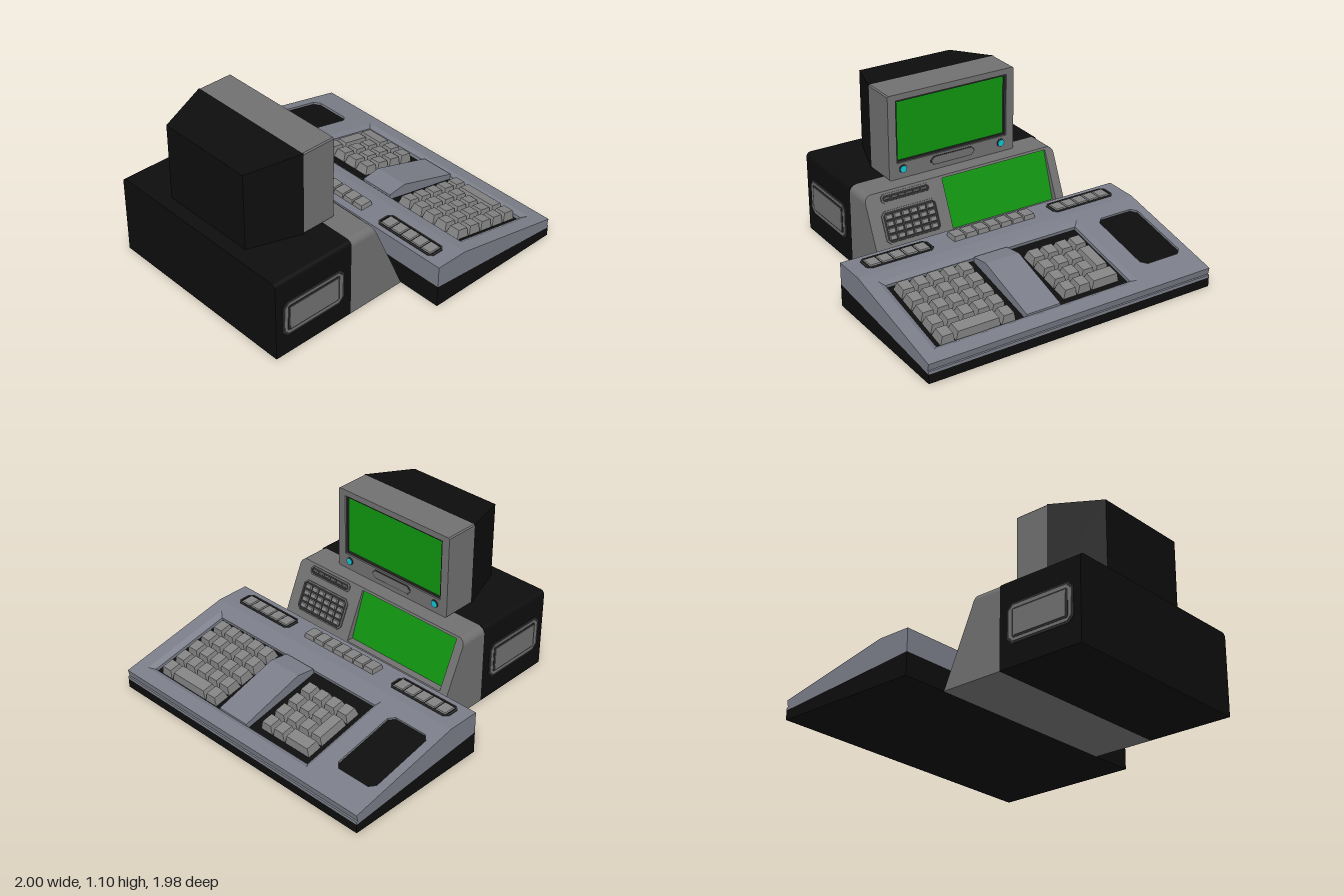
import * as THREE from 'three';

const COLORS = { black: 0x0d0d0d, dark: 0x2c2c2c, grey: 0x707070, key: 0x828282, deck: 0x7a7d88, green: 0x109410, cyan: 0x12c4d2 };
const MATS = {};
for (const k in COLORS) {
  MATS[k] = new THREE.MeshStandardMaterial({ flatShading: true });
  MATS[k].color.set(COLORS[k]);
}

function add(parent, name, geo, mat, x = 0, y = 0, z = 0) {
  const m = new THREE.Mesh(geo, MATS[mat]);
  m.name = name;
  m.position.set(x, y, z);
  parent.add(m);
  return m;
}

function group(parent, name) {
  const g = new THREE.Group();
  g.name = name;
  parent.add(g);
  return g;
}

const poly = pts => new THREE.Shape(pts.map(p => new THREE.Vector2(p[0], p[1])));

// Rectangle with chamfered corners
function rect(x0, y0, x1, y1, c = 0) {
  if (!c) return poly([[x0, y0], [x1, y0], [x1, y1], [x0, y1]]);
  return poly([[x0 + c, y0], [x1 - c, y0], [x1, y0 + c], [x1, y1 - c],
    [x1 - c, y1], [x0 + c, y1], [x0, y1 - c], [x0, y0 + c]]);
}

// Cabinet outline with rounded top corners
function cabinetShape(w, h, r) {
  const s = new THREE.Shape();
  s.moveTo(-w, 0);
  s.lineTo(w, 0);
  s.lineTo(w, h - r);
  s.absarc(w - r, h - r, r, 0, Math.PI / 2);
  s.absarc(r - w, h - r, r, Math.PI / 2, Math.PI);
  return s;
}

// Plate from a shape between two heights
function plate(parent, name, shape, mat, z0, z1) {
  const geo = new THREE.ExtrudeGeometry(shape, { depth: z1 - z0, bevelEnabled: false, curveSegments: 6 });
  geo.translate(0, 0, z0);
  return add(parent, name, geo, mat);
}

function reshape(geo, rule) {
  const p = geo.attributes.position, v = new THREE.Vector3();
  for (let i = 0; i < p.count; i++) {
    rule(v.fromBufferAttribute(p, i));
    p.setXYZ(i, v.x, v.y, v.z);
  }
  geo.computeVertexNormals();
  return geo;
}

// Tapered keycap standing along +z, covering a cell
function keycap(parent, x0, y0, x1, y1, z0, z1, gap = 0.004, taper = 0.012) {
  const w = x1 - x0 - gap * 2, d = y1 - y0 - gap * 2;
  const geo = reshape(new THREE.BoxGeometry(w, d, z1 - z0), v => {
    if (v.z > 0) {
      v.x -= Math.sign(v.x) * taper;
      v.y -= Math.sign(v.y) * taper;
    }
  });
  add(parent, 'key', geo, 'key', (x0 + x1) / 2, (y0 + y1) / 2, (z0 + z1) / 2);
}

function buildKeyboard(root) {
  const kb = group(root, 'keyboard');
  const W = 0.99;
  plate(kb, 'keyboardBase', poly([[0, 0], [1, 0], [1, 0.06], [0, 0.145]]), 'black', -W, W);
  plate(kb, 'keyboardBody', poly([[0, 0.145], [1, 0.06], [1, 0.079], [0.22, 0.244], [0.22, 0.29], [0, 0.29]]), 'deck', -W, W);

  // Sloped deck: local x runs down the slope, local y towards -z
  const a = Math.atan2(0.165, 0.78), c = Math.cos(a);
  const deck = group(kb, 'slopedDeck');
  deck.position.set(0.22, 0.29, 0);
  deck.rotation.set(-Math.PI / 2, 0, -a, 'ZYX');
  const U = x => (x - 0.22) / c;
  const area = (x0, z0, x1, z1, ch) => rect(U(x0), -z1, U(x1), -z0, ch);

  const top = area(0.22, -W, 1, W);
  top.holes.push(area(0.29, -0.51, 0.91, 0.9), area(0.335, -0.93, 0.81, -0.63, 0.035));
  plate(deck, 'deckPlate', top, 'deck', -0.045, 0);
  plate(deck, 'displayWindow', area(0.33, -0.935, 0.815, -0.625), 'black', -0.045, -0.015);

  // Bevelled surround of the key well
  const ring = area(0.29, -0.51, 0.91, 0.9);
  ring.holes.push(area(0.32, -0.48, 0.88, 0.865));
  const surround = plate(deck, 'wellSurround', ring, 'deck', -0.045, 0);
  reshape(surround.geometry, v => {
    const inner = v.x > U(0.31) && v.x < U(0.89) && v.y > -0.88 && v.y < 0.495;
    if (inner && v.z > -0.01) v.z = -0.02;
  });
  plate(deck, 'upperWell', area(0.32, -0.48, 0.88, 0.03), 'black', -0.046, -0.042);
  plate(deck, 'lowerWell', area(0.32, 0.265, 0.88, 0.865), 'black', -0.046, -0.042);

  // Peaked divider between the two key groups
  plate(kb, 'wellDivider', poly([[0.32, 0.2], [0.88, 0.08], [0.88, 0.145], [0.45, 0.278], [0.32, 0.26]]), 'deck', 0.03, 0.265);

  // Key cells given as [column, row, columns wide, rows deep]
  const pad = (name, x, z, px, pz, cells) => {
    const g = group(deck, name);
    for (const [i, j, w, h] of cells)
      keycap(g, U(x + i * px), -(z + (j + h) * pz), U(x + (i + w) * px), -(z + j * pz), -0.044, 0.014);
  };
  const small = [[0, 0, 1, 1], [1, 0, 2, 1], [3, 0, 1, 2]];
  for (let j = 1; j < 4; j++)
    for (let i = 0; i < 4; i++) if (i < 3 || j > 1) small.push([i, j, 1, 1]);
  pad('numberKeys', 0.41, -0.44, 0.106, 0.102, small);

  const large = [[4, 1, 1, 3]];
  for (let j = 0; j < 5; j++)
    for (let i = 0; i < 5; i++) if (i < 4 || j === 0 || j === 4) large.push([i, j, 1, 1]);
  pad('mainKeys', 0.34, 0.32, 0.106, 0.102, large);

  // Key rows on the flat strip
  const strip = group(kb, 'stripKeys');
  strip.position.y = 0.29;
  strip.rotation.x = -Math.PI / 2;
  for (const [z0, z1, n, h, framed] of [[-0.88, -0.46, 5, 0.01, true], [-0.3, 0.29, 7, 0.03, false], [0.45, 0.87, 5, 0.01, true]]) {
    if (framed) {
      const rim = rect(0.035, -z1 - 0.02, 0.16, -z0 + 0.02, 0.025);
      rim.holes.push(rect(0.045, -z1 - 0.008, 0.15, -z0 + 0.008, 0.018));
      plate(strip, 'keyRowRim', rim, 'dark', 0, 0.005);
      plate(strip, 'keyRowBed', rect(0.045, -z1 - 0.008, 0.15, -z0 + 0.008, 0.018), 'black', 0, 0.002);
    }
    const p = (z1 - z0) / n;
    for (let i = 0; i < n; i++)
      keycap(strip, 0.05, -z0 - (i + 1) * p, 0.145, -z0 - i * p, 0, h, 0.002, 0.005);
  }
}

function buildConsole(root) {
  // Local x towards -z, local z towards +x
  const con = group(root, 'console');
  con.rotation.y = Math.PI / 2;
  plate(con, 'consoleRear', cabinetShape(0.69, 0.54, 0.03), 'black', -1, -0.42);

  // Front wedge with a leaning face and a display opening
  const run = 0.24 / 0.54;
  const shape = cabinetShape(0.69, 0.54, 0.045);
  shape.holes.push(rect(-0.145, 0.21, 0.63, 0.525));
  const wedge = plate(con, 'consoleFront', shape, 'grey', -0.42, 0);
  reshape(wedge.geometry, v => { if (v.z > -0.01) v.z = -run * v.y; });
  const screen = plate(con, 'lowerScreen', rect(-0.145, 0.21, 0.63, 0.525), 'green', -0.02, 0);
  reshape(screen.geometry, v => { v.z += -0.14 - (v.y - 0.21) * 0.34; });

  // Keypad and button row on the leaning face
  const tilt = Math.atan(run), c = Math.cos(tilt);
  const face = group(con, 'facePanel');
  face.rotation.x = -tilt;
  const block = (name, x0, y0, x1, y1, cols, rows, m, ch) => {
    const g = group(face, name);
    const v0 = y0 / c, v1 = y1 / c, pw = (x1 - x0) / cols, ph = (v1 - v0) / rows;
    const rim = rect(x0 - m, v0 - m, x1 + m, v1 + m, ch);
    rim.holes.push(rect(x0 - m + 0.008, v0 - m + 0.008, x1 + m - 0.008, v1 + m - 0.008, ch * 0.8));
    plate(g, 'panelRim', rim, 'grey', 0, 0.008);
    plate(g, 'panelBed', rect(x0 - m, v0 - m, x1 + m, v1 + m, ch), 'dark', 0, 0.003);
    for (let i = 0; i < cols; i++)
      for (let j = 0; j < rows; j++)
        keycap(g, x0 + i * pw, v0 + j * ph, x0 + (i + 1) * pw, v0 + (j + 1) * ph, 0, 0.014, 0.004, 0.005);
  };
  block('keypad', -0.59, 0.26, -0.24, 0.415, 6, 4, 0.018, 0.025);
  block('buttonRow', -0.57, 0.487, -0.26, 0.51, 6, 1, 0.016, 0.016);

  // Vent panels on both sides
  for (const s of [1, -1]) {
    const vent = group(root, 'sidePanel');
    vent.position.set(-0.715, 0.26, s * 0.69);
    if (s < 0) vent.rotation.y = Math.PI;
    [['dark', 0.235, 0.122, 0.035, 0.004], ['grey', 0.222, 0.109, 0.03, 0.007],
      ['dark', 0.2, 0.09, 0.01, 0.009], ['grey', 0.185, 0.078, 0, 0.012]].forEach(([mat, w, h, ch, d]) =>
      plate(vent, 'panelLayer', rect(-w, -h, w, h, ch), mat, -0.002, d));
  }
}

function buildMonitor(root) {
  const mon = group(root, 'monitor');
  mon.rotation.y = Math.PI / 2;

  // Tapered rear housing
  const rear = reshape(new THREE.BoxGeometry(0.91, 0.56, 0.34), v => {
    if (v.z < 0) {
      v.x *= 0.735;
      if (v.y > 0) v.y -= 0.045;
    }
  });
  add(mon, 'monitorRear', rear, 'black', 0, 0.82, -0.74);

  // Bezel, screen and controls
  const bezel = rect(-0.455, 0.54, 0.455, 1.1, 0.008);
  bezel.holes.push(rect(-0.4, 0.645, 0.4, 1.06));
  plate(mon, 'bezel', bezel, 'grey', -0.57, -0.34);
  const lip = rect(-0.4, 0.645, 0.4, 1.06);
  lip.holes.push(rect(-0.388, 0.657, 0.388, 1.048));
  plate(mon, 'screenSurround', lip, 'dark', -0.4, -0.35);
  plate(mon, 'upperScreen', rect(-0.395, 0.65, 0.395, 1.055), 'green', -0.4, -0.362);
  plate(mon, 'slotRim', rect(-0.16, 0.572, 0.16, 0.632, 0.022), 'dark', -0.345, -0.338);
  plate(mon, 'slotCover', rect(-0.154, 0.578, 0.154, 0.626, 0.02), 'grey', -0.345, -0.336);
  for (const s of [1, -1]) {
    for (const [name, mat, r, h] of [['knobRim', 'dark', 0.027, 0.01], ['knob', 'cyan', 0.022, 0.016]]) {
      const k = add(mon, name, new THREE.CylinderGeometry(r, r, h, 16), mat, s * 0.358, 0.602, -0.34);
      k.rotation.x = Math.PI / 2;
    }
  }
}

export function createModel() {
  const root = new THREE.Group();
  root.name = 'computerTerminal';
  buildKeyboard(root);
  buildConsole(root);
  buildMonitor(root);
  return root;
}
